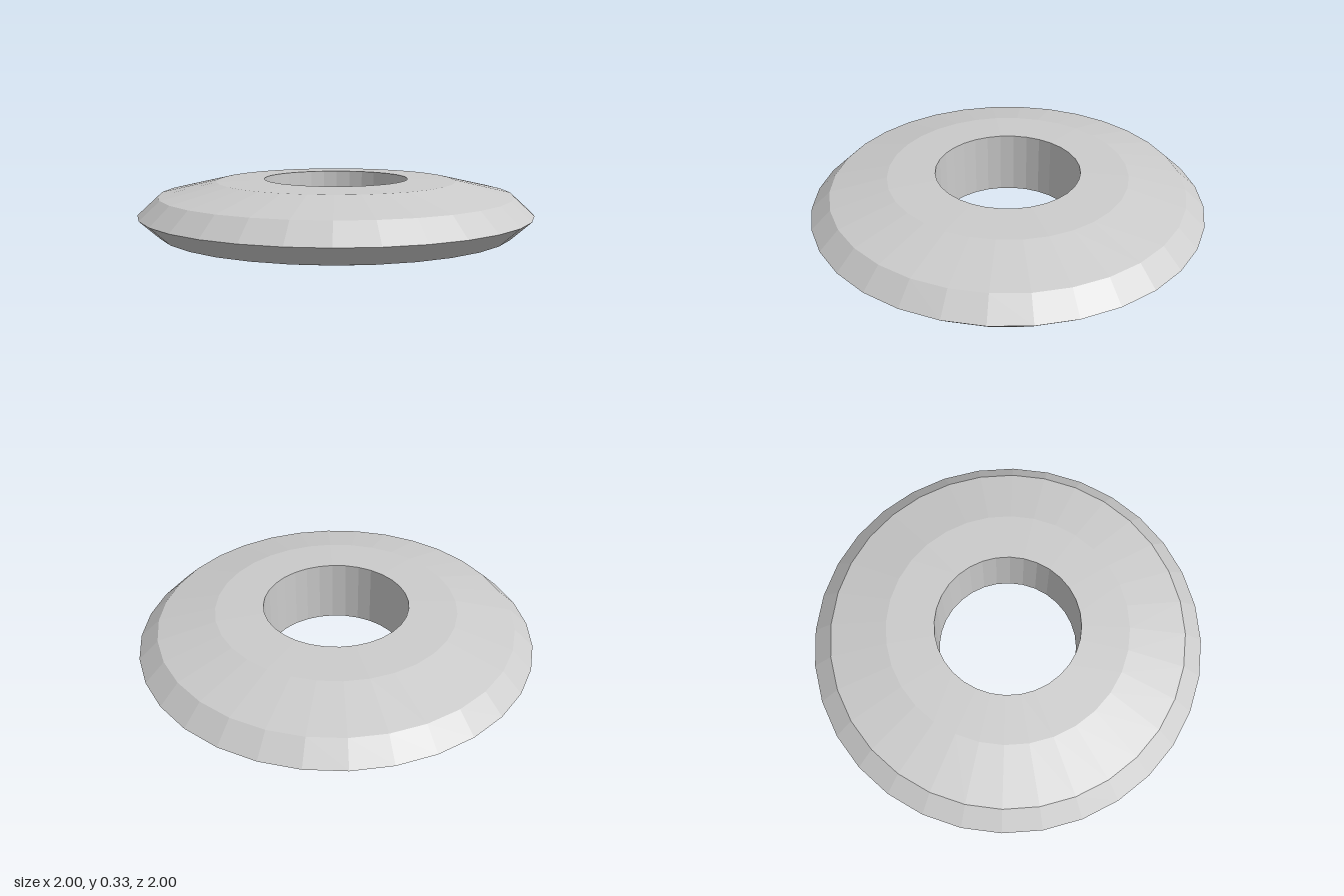
import * as THREE from 'three';

export function createModel() {
  const group = new THREE.Group();
  group.name = 'ring';

  // Upper half of the cross-section: [radius, height above the mid plane]
  const upper = [[1, 0], [0.9, 0.092], [0.61, 0.158], [0.368, 0.166]];
  const mid = 0.166;

  // Closed loop: bore bottom, under side, rim, top side, back down the bore wall
  const lower = upper.slice(1).reverse().map(([r, h]) => [r, -h]);
  const loop = [...lower, ...upper, lower[0]];
  const profile = loop.map(([r, h]) => new THREE.Vector2(r, mid + h));

  const body = new THREE.Mesh(
    new THREE.LatheGeometry(profile, 32),
    new THREE.MeshStandardMaterial({ color: 0xcccccc, flatShading: true })
  );
  body.name = 'ringBody';
  group.add(body);
  return group;
}
